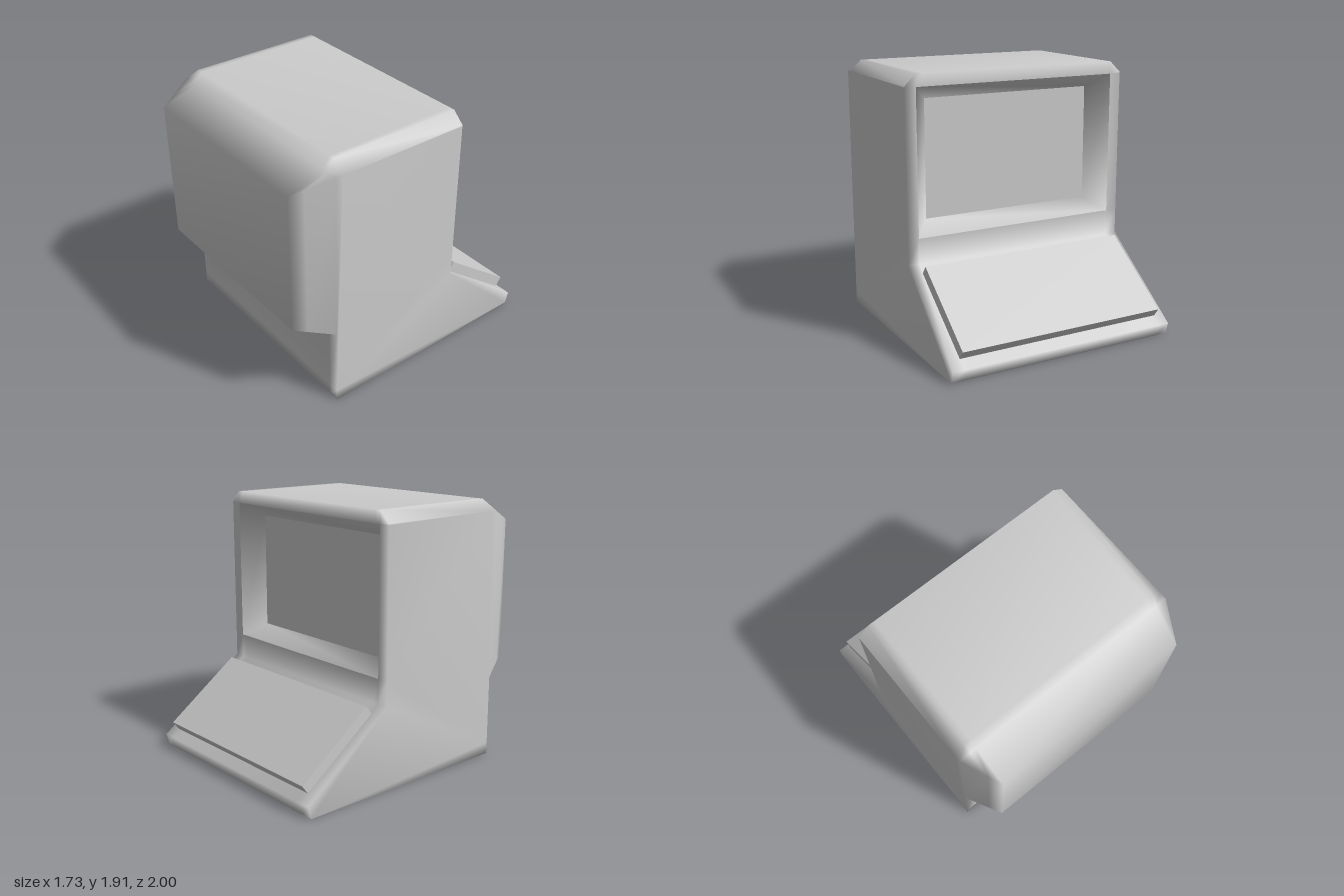
import * as THREE from 'three';
import { mergeVertices } from 'three/addons/utils/BufferGeometryUtils.js';

const material = new THREE.MeshStandardMaterial({ color: 0xcccccc });

const HALF = 0.865;                 // half width of the case
const OPEN = { x: 0.78, low: 0.78, high: 1.82, z: -0.32 };   // screen opening
const GLASS = { x: 0.655, low: 0.87, high: 1.72, z: -0.17 }; // recessed screen

// Side outline [z, y]; t = 1 gives the full tube bulge, t = 0 none
function outline(t, top) {
  return [
    [-0.975, 0], [0.73, 0], [0.73, 0.085], [0.73, 0.6],
    [0.73 + 0.27 * t, 0.6 + 0.095 * t], [0.73 + 0.27 * t, 1.83 - 0.095 * t],
    [0.73, 1.83], [0.68, top], [OPEN.z, top],
    [OPEN.z, OPEN.high], [OPEN.z, OPEN.low], [OPEN.z, 0.6], [-1, 0.085],
  ];
}

// Shared vertices give soft normals across the edges
function smooth(positions, index) {
  const g = new THREE.BufferGeometry();
  g.setAttribute('position', new THREE.Float32BufferAttribute(positions, 3));
  g.setIndex(index);
  const merged = mergeVertices(g, 1e-4);
  merged.computeVertexNormals();
  return merged;
}

// Case: outlines lofted across the width, with the screen opening left out
function caseGeometry() {
  const stations = [-HALF, -OPEN.x, -0.735, 0.735, OPEN.x, HALF];
  const positions = [], index = [];
  const n = outline(1, 1.91).length;
  for (const x of stations) {
    const t = Math.min(1, (HALF - Math.abs(x)) / 0.13);
    const top = Math.abs(x) === HALF ? 1.83 : 1.91;
    for (const [z, y] of outline(t, top)) positions.push(x, y, z);
  }
  for (let i = 0; i < stations.length - 1; i++) {
    const inner = i > 0 && i < stations.length - 2;
    for (let j = 0; j < n; j++) {
      if (inner && j === 9) continue;
      const k = (j + 1) % n;
      const a = i * n + j, b = i * n + k, c = b + n, d = a + n;
      index.push(a, d, c, a, c, b);
    }
  }
  // End walls (the bulge points fall together there and are skipped)
  const used = [...Array(n).keys()].filter((j) => j !== 4 && j !== 5);
  const flat = outline(0, 1.83);
  const contour = used.map((j) => new THREE.Vector2(...flat[j]));
  const last = (stations.length - 1) * n;
  for (const tri of THREE.ShapeUtils.triangulateShape(contour, [])) {
    const [a, b, c] = tri.map((v) => used[v]);
    index.push(a, b, c, last + a, last + c, last + b);
  }
  return smooth(positions, index);
}

// Sloping frame between the opening and the glass
function bezelGeometry() {
  const positions = [], index = [];
  for (const r of [OPEN, GLASS]) {
    positions.push(-r.x, r.low, r.z, r.x, r.low, r.z, r.x, r.high, r.z, -r.x, r.high, r.z);
  }
  for (let i = 0; i < 4; i++) {
    const j = (i + 1) % 4;
    index.push(i, i + 4, j + 4, i, j + 4, j);
  }
  return smooth(positions, index);
}

export function createModel() {
  const model = new THREE.Group();
  model.name = 'computerTerminal';
  const add = (name, geometry, mat = material) => {
    const mesh = new THREE.Mesh(geometry, mat);
    mesh.name = name;
    model.add(mesh);
    return mesh;
  };

  add('case', caseGeometry());

  const thin = material.clone();
  thin.side = THREE.DoubleSide;
  add('screenBezel', bezelGeometry(), thin);

  const screen = add('screen', new THREE.PlaneGeometry(GLASS.x * 2, GLASS.high - GLASS.low));
  screen.position.set(0, (GLASS.low + GLASS.high) / 2, GLASS.z);
  screen.rotation.y = Math.PI;

  // Keyboard slab lying on the sloping shelf
  const keyboard = add('keyboard', new THREE.BoxGeometry(1.57, 0.077, 0.69));
  keyboard.position.set(0, 0.375, -0.683);
  keyboard.rotation.x = -0.64;

  return model;
}
